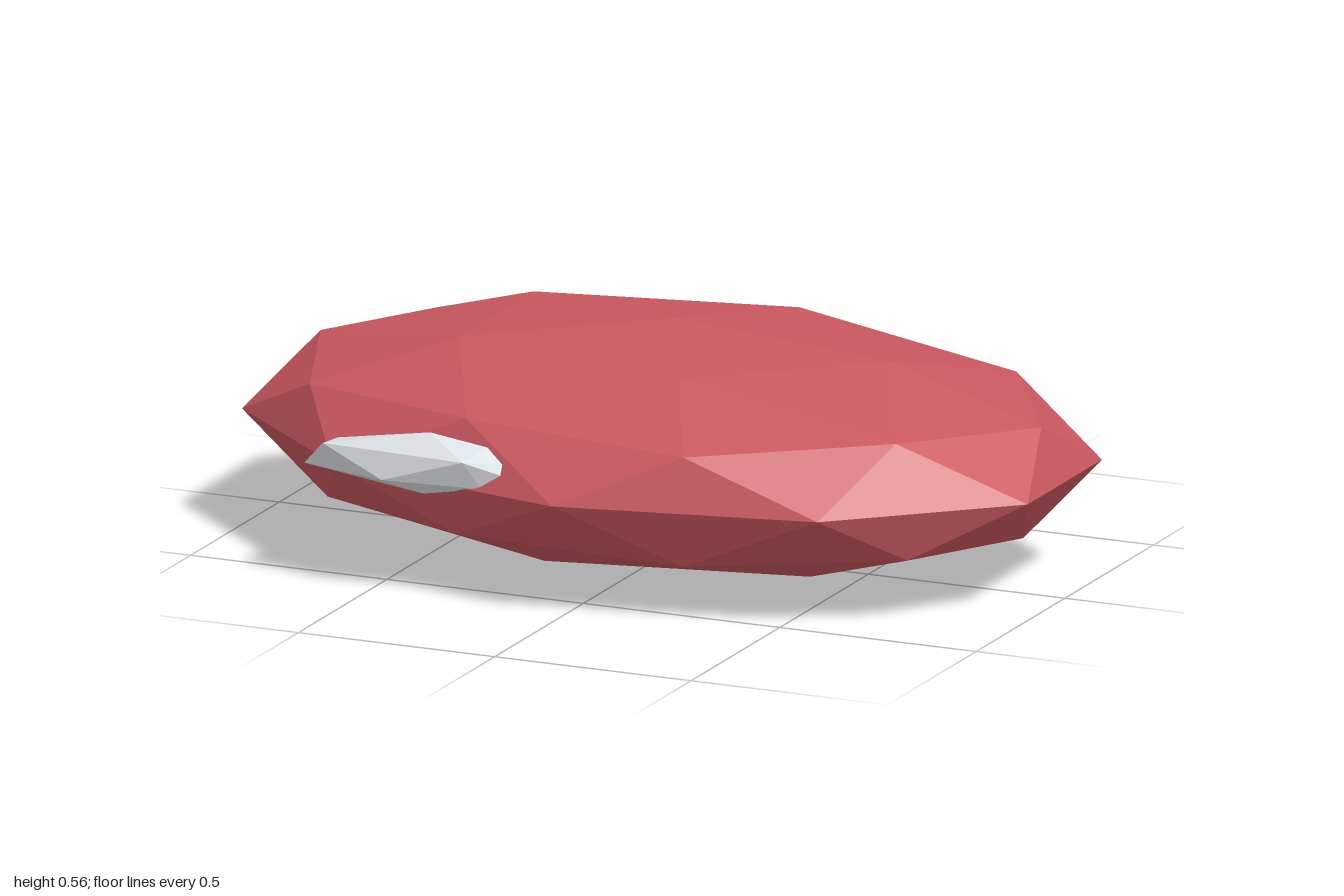
import * as THREE from 'three';
import { ConvexGeometry } from 'three/addons/geometries/ConvexGeometry.js';

const material = (color) => new THREE.MeshStandardMaterial({ color, flatShading: true });

// Flattened faceted ball with one corner pointing straight up
function makeBody() {
  const geometry = new THREE.IcosahedronGeometry(1, 1);
  geometry.rotateZ(-Math.atan(2 / (1 + Math.sqrt(5))));
  geometry.scale(1.0515, 0.28, 0.68);
  geometry.translate(0, 0.28, 0);
  geometry.computeVertexNormals();
  const body = new THREE.Mesh(geometry, material(0xc9575f));
  body.name = 'body';
  return body;
}

// Small pale chip, half sunk into the front right of the body
function makeChip() {
  const corners = [
    [-0.67, 0.285, 0.59], [-0.605, 0.35, 0.63], [-0.6, 0.345, 0.555], // outer end
    [-0.48, 0.36, 0.54], [-0.35, 0.395, 0.59], [-0.2, 0.375, 0.59], // upper rim
    [-0.13, 0.345, 0.605], [-0.13, 0.315, 0.62], // inner end
    [-0.24, 0.35, 0.652], [-0.445, 0.285, 0.652], // front ridge
    [-0.2, 0.285, 0.63], [-0.36, 0.25, 0.605], [-0.26, 0.29, 0.575], // underside
  ].map((p) => new THREE.Vector3(...p));
  const chip = new THREE.Mesh(new ConvexGeometry(corners), material(0xdde3e6));
  chip.name = 'chip';
  return chip;
}

export function createModel() {
  const model = new THREE.Group();
  model.name = 'facetedStone';
  model.add(makeBody(), makeChip());
  return model;
}
